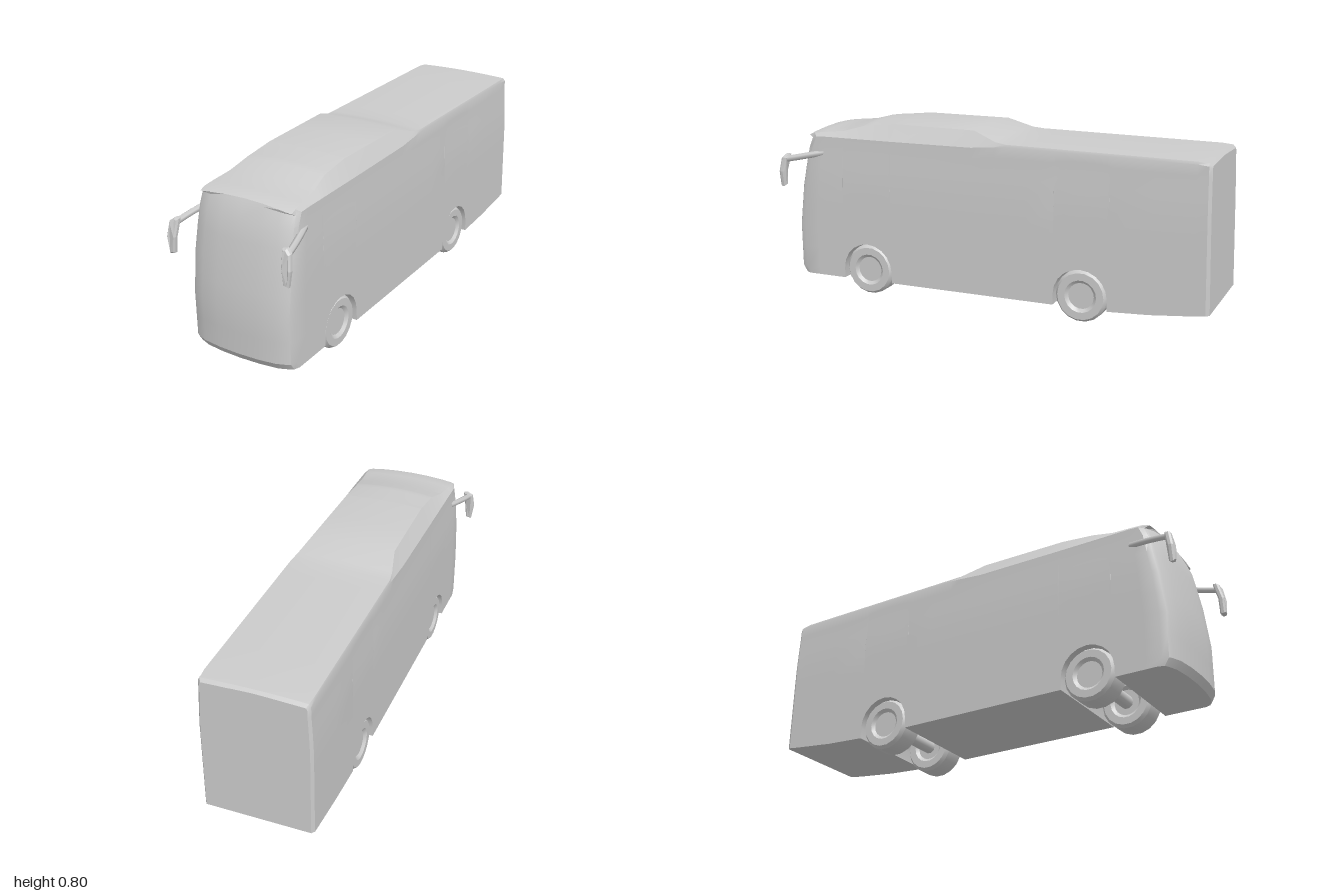
import * as THREE from 'three';
import { toCreasedNormals } from 'three/addons/utils/BufferGeometryUtils.js';

const AXLES = [0.575, -0.445];
const WHEEL_Y = 0.118, WHEEL_R = 0.115, ARCH_R = 0.121;
const FLOOR = 0.07;

// Stations along the bus: z, shoulder height, roof edge height, crown height, roof edge half width
const STATIONS = [
  [-1, 0.712, 0.722, 0.727, 0.215],
  [-0.985, 0.722, 0.734, 0.74, 0.222],
  [-0.93, 0.727, 0.738, 0.743, 0.226],
  [-0.1, 0.735, 0.746, 0.752, 0.226],
  [-0.05, 0.732, 0.752, 0.762, 0.218],
  [0.06, 0.722, 0.79, 0.798, 0.19],
  [0.45, 0.72, 0.792, 0.8, 0.182],
  [0.6, 0.72, 0.776, 0.79, 0.185],
  [0.7, 0.72, 0.748, 0.764, 0.2],
  [0.8, 0.72, 0.738, 0.75, 0.21],
  [0.85, 0.718, 0.732, 0.747, 0.214],
  [0.87, 0.71, 0.721, 0.738, 0.214],
];

const FRONT_LEAN = [[0.07, 0.945], [0.1, 0.965], [0.3, 0.967], [0.5, 0.943], [0.69, 0.905], [0.74, 0.872]];
const LEVELS = [0, 0.05, 0.2, 0.36, 0.5, 0.65, 0.8, 0.93, 1]; // side rows from floor to shoulder
const COLUMNS = [-1, -0.95, -0.75, -0.4, 0, 0.4, 0.75, 0.95, 1];

// Linear lookup in a table sorted by its first column
function lookup(table, t, column) {
  let i = 1;
  while (i < table.length - 1 && table[i][0] < t) i++;
  const a = table[i - 1], b = table[i];
  const k = THREE.MathUtils.clamp((t - a[0]) / (b[0] - a[0]), 0, 1);
  return a[column] + (b[column] - a[column]) * k;
}

// Underside height: rises at the tail and arches over each axle
function underside(z) {
  for (const axle of AXLES) {
    const d = Math.abs(z - axle);
    if (d <= ARCH_R) return WHEEL_Y + Math.sqrt(ARCH_R * ARCH_R - d * d);
  }
  return FLOOR + 0.037 * THREE.MathUtils.clamp((-0.57 - z) / 0.43, 0, 1) ** 1.5;
}

// Body shell: a segmented box whose grid is moved onto the bus surface
function bodyGeometry() {
  const zs = STATIONS.map((s) => s[0]);
  for (const axle of AXLES) {
    zs.push(axle - ARCH_R - 0.001, axle + ARCH_R + 0.001);
    for (let i = 0; i <= 10; i++) zs.push(axle + Math.cos(Math.PI * i / 10) * ARCH_R * 0.9999);
  }
  zs.push(-0.75, -0.2, 0.25);
  zs.sort((a, b) => a - b);

  const nx = COLUMNS.length - 1, ny = LEVELS.length, nz = zs.length - 1;
  const geometry = new THREE.BoxGeometry(1, 1, 1, nx, ny, nz);
  const p = geometry.attributes.position;
  for (let i = 0; i < p.count; i++) {
    const u = COLUMNS[Math.round((p.getX(i) + 0.5) * nx)];
    const row = Math.round((p.getY(i) + 0.5) * ny);
    const station = Math.round((p.getZ(i) + 0.5) * nz);
    let z = zs[station];
    const shoulder = lookup(STATIONS, z, 1), edge = lookup(STATIONS, z, 2);
    const crown = lookup(STATIONS, z, 3), roofHalf = lookup(STATIONS, z, 4);
    const low = underside(z);

    let y, half;
    if (row === ny) {
      y = edge + (crown - edge) * (1 - u * u);
      half = roofHalf;
    } else {
      y = low + (shoulder - low) * LEVELS[row];
      half = 0.239 - 0.009 * THREE.MathUtils.smoothstep(y, 0.5, 0.72);
      // arch the top rows of the end faces gently
      if (row === ny - 1) y += 0.018 * (1 - u * u);
      if (station === 0 || station === nz) half -= 0.01;
    }

    // rounded, leaning windscreen and slightly tilted tail
    if (z > 0.7) {
      const bow = 0.022 * u * u + 0.018 * u ** 8;
      const front = lookup(FRONT_LEAN, y, 1) - bow * (row === ny ? 0.3 : 1);
      z += (front - 0.87) * (z - 0.7) / 0.17;
    } else if (z < -0.9) {
      z += 0.015 * THREE.MathUtils.clamp((y - 0.1) / 0.63, 0, 1) * (-0.9 - z) / 0.1;
    }
    p.setXYZ(i, 0.003 + u * half, y, z);
  }
  return toCreasedNormals(geometry, 0.45);
}

// Wheel with a bevelled tyre and a shallow dished hub on both sides
function wheelGeometry() {
  const w = 0.06, r = WHEEL_R;
  const profile = [
    [0, -w + 0.012], [r * 0.5, -w + 0.012], [r * 0.62, -w], [r * 0.9, -w], [r, -w + 0.016],
    [r, w - 0.016], [r * 0.9, w], [r * 0.62, w], [r * 0.5, w - 0.012], [0, w - 0.012],
  ].map(([x, y]) => new THREE.Vector2(x, y));
  const geometry = new THREE.LatheGeometry(profile, 18);
  geometry.rotateZ(Math.PI / 2);
  return toCreasedNormals(geometry, 0.5);
}

// Left mirror: curved arm and a drooping faceted head
function mirrorParts(material) {
  const group = new THREE.Group();
  const path = new THREE.CatmullRomCurve3([
    new THREE.Vector3(0.222, 0.645, 0.79),
    new THREE.Vector3(0.242, 0.632, 0.86),
    new THREE.Vector3(0.258, 0.618, 0.93),
    new THREE.Vector3(0.266, 0.608, 0.98),
  ]);
  const arm = new THREE.Mesh(new THREE.TubeGeometry(path, 6, 0.014, 6), material);
  arm.name = 'mirrorArm';

  const outline = [[0.243, 0.632], [0.262, 0.635], [0.284, 0.618], [0.291, 0.555],
    [0.28, 0.484], [0.256, 0.49], [0.248, 0.56]];
  const shape = new THREE.Shape(outline.map(([x, y]) => new THREE.Vector2(x, y)));
  const headGeometry = new THREE.ExtrudeGeometry(shape, {
    depth: 0.012, bevelEnabled: true, bevelSegments: 1, bevelThickness: 0.007, bevelSize: 0.006, bevelOffset: -0.006,
  });
  const p = headGeometry.attributes.position;
  for (let i = 0; i < p.count; i++) { // lean the top back into the arm
    const k = THREE.MathUtils.clamp((p.getY(i) - 0.57) / 0.065, 0, 1);
    p.setZ(i, p.getZ(i) + 0.981 - 0.022 * k * k);
  }
  headGeometry.computeVertexNormals();
  const head = new THREE.Mesh(headGeometry, material);
  head.name = 'mirrorHead';
  group.add(arm, head);
  return group;
}

export function createModel() {
  const model = new THREE.Group();
  model.name = 'bus';
  const material = new THREE.MeshStandardMaterial({ color: 0xcccccc });

  const body = new THREE.Mesh(bodyGeometry(), material);
  body.name = 'body';
  model.add(body);

  // Wheels and axles
  const wheel = wheelGeometry();
  const axleGeometry = new THREE.CylinderGeometry(0.03, 0.03, 0.3, 10).rotateZ(Math.PI / 2);
  AXLES.forEach((z, i) => {
    const end = i === 0 ? 'front' : 'rear';
    for (const side of [1, -1]) {
      const mesh = new THREE.Mesh(wheel, material);
      mesh.name = end + (side > 0 ? 'Left' : 'Right') + 'Wheel';
      mesh.position.set(0.003 + side * 0.17, WHEEL_Y, z);
      model.add(mesh);
    }
    const axle = new THREE.Mesh(axleGeometry, material);
    axle.name = end + 'Axle';
    axle.position.set(0.003, WHEEL_Y, z);
    model.add(axle);
  });

  // Mirrors
  for (const side of [1, -1]) {
    const mirror = mirrorParts(material);
    mirror.name = side > 0 ? 'leftMirror' : 'rightMirror';
    mirror.scale.x = side;
    model.add(mirror);
  }
  return model;
}
